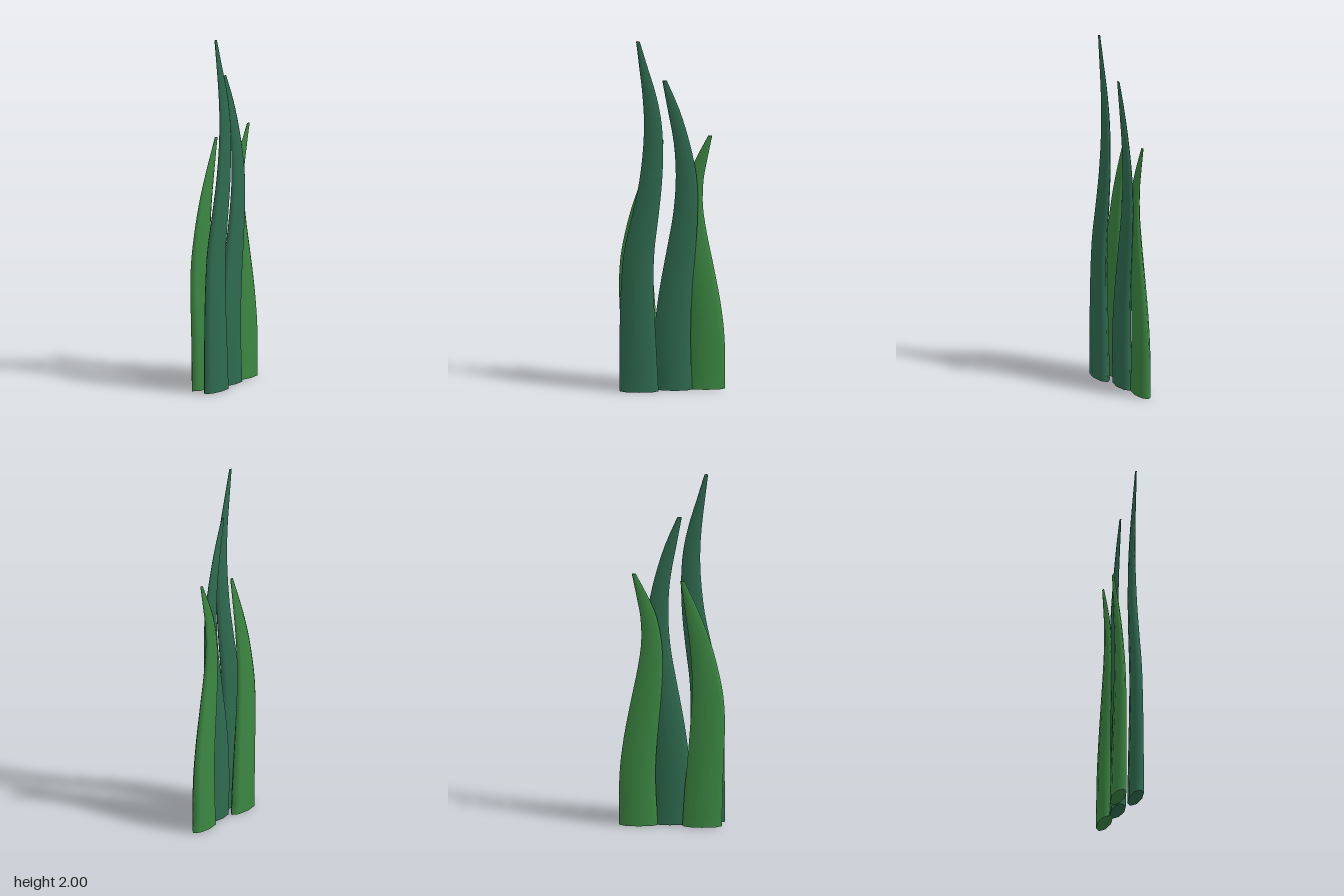
import * as THREE from 'three';

const SIDES = 8, RINGS = 28;

// Blade lofted through octagonal sections; rows are [height, left edge, right edge]
function bladeGeometry(rows, z, depth) {
  const edges = new THREE.CatmullRomCurve3(rows.map(([y, l, r]) => new THREE.Vector3(l, y, r)));
  const top = rows[rows.length - 1][0];
  const pos = [], index = [];

  const addRing = (u) => {
    const p = edges.getPoint(u);
    const cx = (p.x + p.z) / 2, rx = (p.z - p.x) / 2;
    const t = THREE.MathUtils.clamp(p.y / top, 0, 1);
    const rz = depth * (1 - 0.88 * Math.pow(t, 1.3));
    const start = pos.length / 3;
    for (let j = 0; j < SIDES; j++) {
      const a = (j / SIDES) * Math.PI * 2;
      pos.push(cx + Math.cos(a) * rx, p.y, z + Math.sin(a) * rz);
    }
    return start;
  };

  // Smooth side walls
  for (let i = 0; i <= RINGS; i++) {
    const s = addRing(i / RINGS);
    if (i === 0) continue;
    for (let j = 0; j < SIDES; j++) {
      const k = (j + 1) % SIDES, b = s - SIDES;
      index.push(b + j, s + j, b + k, b + k, s + j, s + k);
    }
  }

  // Flat caps on their own vertices, so the rims stay sharp
  const bottom = addRing(0), tip = addRing(1);
  for (let j = 1; j < SIDES - 1; j++) {
    index.push(bottom, bottom + j, bottom + j + 1);
    index.push(tip, tip + j + 1, tip + j);
  }

  const geo = new THREE.BufferGeometry();
  geo.setAttribute('position', new THREE.Float32BufferAttribute(pos, 3));
  geo.setIndex(index);
  geo.computeVertexNormals();
  return geo;
}

export function createModel() {
  const group = new THREE.Group();
  group.name = 'grassTuft';
  const dark = new THREE.MeshStandardMaterial({ color: 0x2f6b50 });
  const light = new THREE.MeshStandardMaterial({ color: 0x3c8742 });

  const blades = [
    {
      name: 'tallBlade', material: dark, z: 0.046,
      rows: [[0, -0.293, -0.075], [0.3, -0.292, -0.09], [0.6, -0.284, -0.103], [0.8, -0.267, -0.098],
        [1.0, -0.223, -0.075], [1.2, -0.182, -0.055], [1.4, -0.16, -0.05], [1.55, -0.156, -0.06],
        [1.7, -0.165, -0.09], [1.85, -0.182, -0.135], [2.0, -0.2, -0.18]],
    },
    {
      name: 'middleBlade', material: dark, z: -0.003,
      rows: [[0, -0.09, 0.112], [0.2, -0.1, 0.104], [0.4, -0.093, 0.104], [0.6, -0.066, 0.113],
        [0.8, -0.03, 0.13], [1.0, 0.005, 0.142], [1.2, 0.02, 0.138], [1.4, 0.01, 0.1],
        [1.6, -0.025, 0.04], [1.765, -0.055, -0.03]],
    },
    {
      name: 'rightBlade', material: light, z: -0.032,
      rows: [[0, 0.078, 0.293], [0.3, 0.09, 0.29], [0.5, 0.08, 0.267], [0.7, 0.062, 0.23],
        [0.9, 0.051, 0.19], [1.05, 0.056, 0.17], [1.2, 0.085, 0.175], [1.3, 0.125, 0.193],
        [1.445, 0.2, 0.222]],
    },
    {
      name: 'backBlade', material: light, z: -0.05,
      rows: [[0, -0.28, -0.06], [0.2, -0.284, -0.072], [0.4, -0.291, -0.09], [0.6, -0.297, -0.105],
        [0.75, -0.288, -0.114], [0.9, -0.26, -0.112], [1.05, -0.22, -0.1], [1.2, -0.165, -0.08],
        [1.41, -0.072, -0.048]],
    },
  ];

  for (const { name, material, z, rows } of blades) {
    const mesh = new THREE.Mesh(bladeGeometry(rows, z, 0.038), material);
    mesh.name = name;
    group.add(mesh);
  }
  return group;
}
